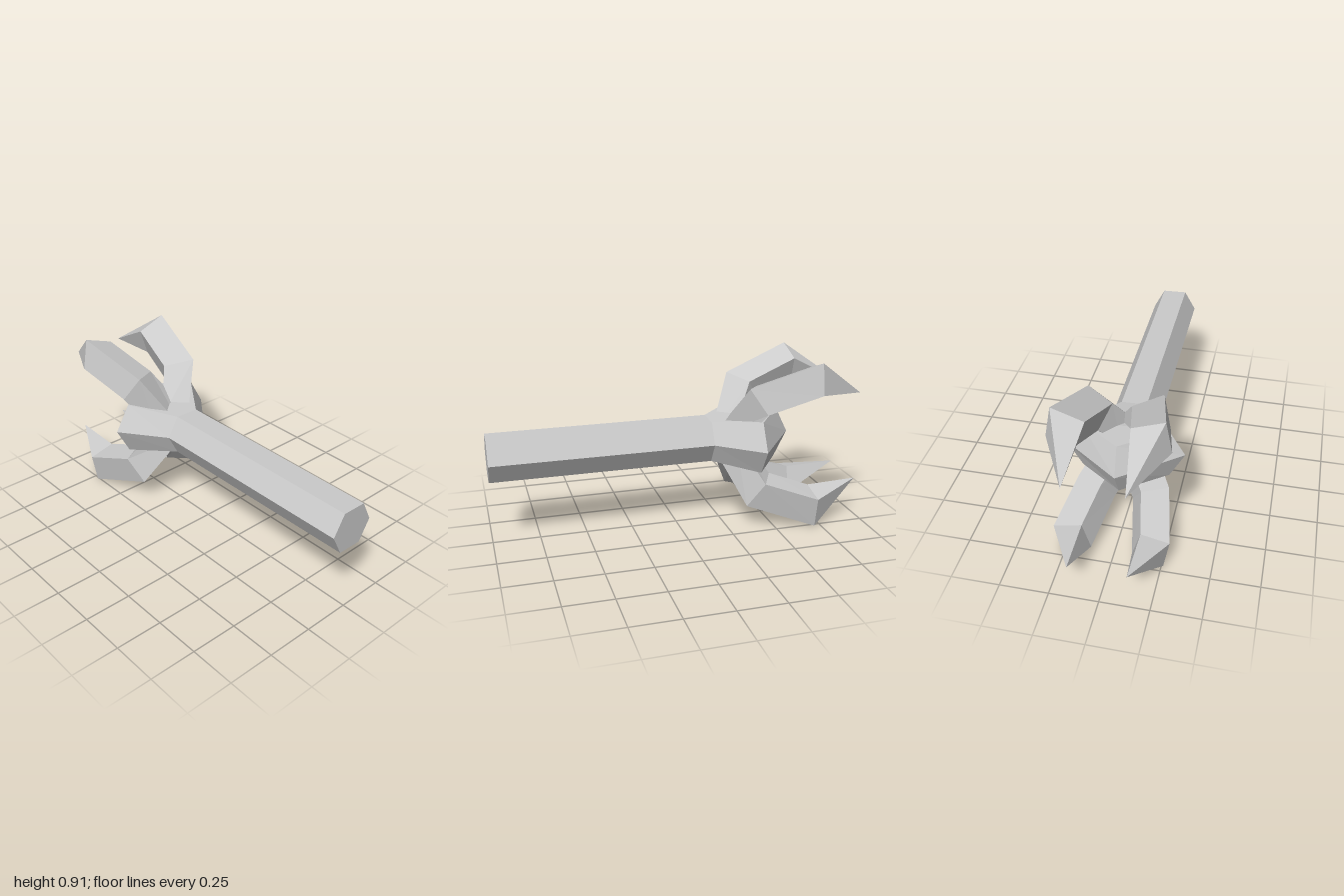
import * as THREE from 'three';

const material = new THREE.MeshStandardMaterial({ color: 0xcccccc, flatShading: true });

// Skin a row of equal-length rings of [x, y, z] points and cap both ends.
function loft(name, rings) {
  const pos = [];
  const tri = (a, b, c) => pos.push(...a, ...b, ...c);
  const n = rings[0].length;
  for (let r = 0; r < rings.length - 1; r++) {
    const a = rings[r], b = rings[r + 1];
    for (let i = 0; i < n; i++) {
      const j = (i + 1) % n;
      tri(a[i], a[j], b[j]);
      tri(a[i], b[j], b[i]);
    }
  }
  const first = rings[0], last = rings[rings.length - 1];
  for (let i = 1; i < n - 1; i++) {
    tri(first[0], first[i + 1], first[i]);
    tri(last[0], last[i], last[i + 1]);
  }
  const geometry = new THREE.BufferGeometry();
  geometry.setAttribute('position', new THREE.Float32BufferAttribute(pos, 3));
  geometry.computeVertexNormals();
  const mesh = new THREE.Mesh(geometry, material);
  mesh.name = name;
  return mesh;
}

// Six-sided section: two side points and four shoulder points.
const hexRing = (xMid, zMid, xTop, zTop, yTop) => [
  [xMid, 0, zMid], [xTop, yTop, zTop], [xTop, yTop, -zTop],
  [xMid, 0, -zMid], [xTop, -yTop, -zTop], [xTop, -yTop, zTop],
];

// Diamond section of a claw: outer ridge, two sides, inner ridge (x, radius).
const clawRing = ([xo, ro], [xs, rs], [xi, ri], w) => [
  [xo, 0, ro], [xs, w, rs], [xi, 0, ri], [xs, -w, rs],
];

export function createModel() {
  const model = new THREE.Group();

  // Shaft and the wedge-shaped hub it flares into
  const core = new THREE.Group();
  core.name = 'shaftAndHub';
  core.position.y = 0.473;
  core.rotation.x = -0.024;
  const shaftEnd = hexRing(-0.18, 0.126, -0.18, 0.066, 0.11);
  core.add(loft('shaft', [hexRing(1, 0.126, 1, 0.066, 0.11), shaftEnd]));
  core.add(loft('hub', [
    shaftEnd,
    hexRing(-0.41, 0.305, -0.41, 0.225, 0.141),
    hexRing(-0.64, 0, -0.57, 0, 0.141),
  ]));
  model.add(core);

  // Four bent claws, leaning 60 degrees above and below the sides
  const claws = new THREE.Group();
  claws.name = 'claws';
  claws.position.set(0, 0.4575, -0.005);
  for (const degrees of [60, 120, 240, 300]) {
    const claw = loft('claw', [
      clawRing([-0.2, 0.03], [-0.3, 0.03], [-0.4, 0.03], 0.109),
      clawRing([-0.345, 0.378], [-0.43, 0.285], [-0.5, 0.21], 0.109),
      clawRing([-0.715, 0.528], [-0.715, 0.399], [-0.715, 0.297], 0.109),
      clawRing([-1, 0.288], [-1, 0.288], [-1, 0.288], 0),
    ]);
    claw.rotation.x = -THREE.MathUtils.degToRad(degrees);
    claws.add(claw);
  }
  model.add(claws);
  return model;
}
